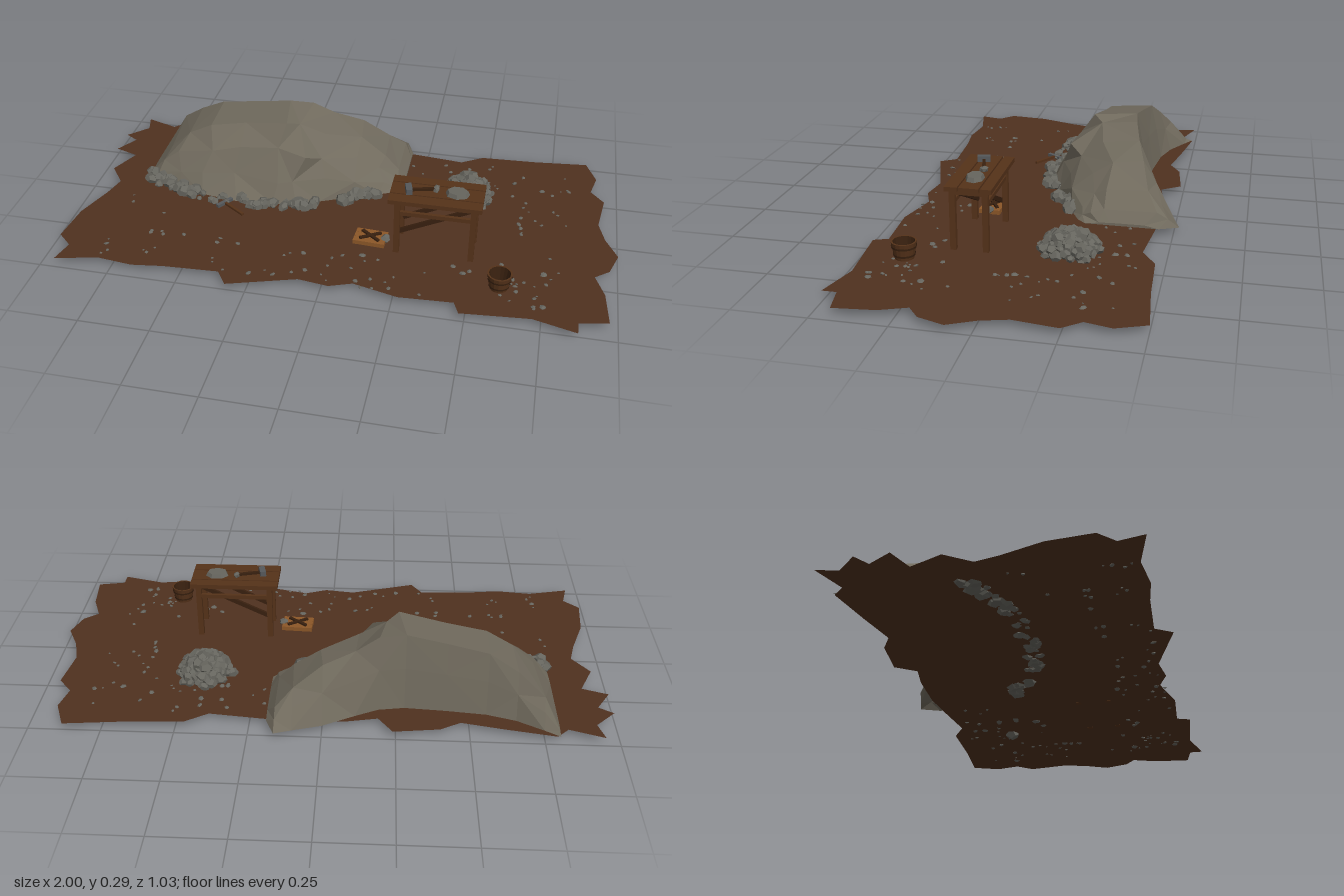
import * as THREE from 'three';
import { mergeGeometries } from 'three/addons/utils/BufferGeometryUtils.js';

const GROUND = 0.025;
const mat = (name, color, extra = {}) => {
  const m = new THREE.MeshStandardMaterial({ color, flatShading: true, ...extra });
  m.name = name;
  return m;
};
const seeded = (s) => () => {
  s = (s * 16807) % 2147483647;
  return s / 2147483647;
};

export function createModel() {
  const model = new THREE.Group();
  const rand = seeded(4217);
  const range = (a, b) => a + (b - a) * rand();
  const earth = mat('earth', 0x50311f, { side: THREE.DoubleSide });
  const cliffStone = mat('cliff stone', 0x706a5d, { side: THREE.DoubleSide });
  const rubbleStone = mat('rubble stone', 0x66655e);
  const wood = mat('wood', 0x553219);
  const darkWood = mat('dark wood', 0x38200f, { side: THREE.DoubleSide });
  const paleWood = mat('pale wood', 0x8c5728);
  const metal = mat('metal', 0x55585a);

  const add = (name, geo, material, parent = model) => {
    const mesh = new THREE.Mesh(geo, material);
    mesh.name = name;
    parent.add(mesh);
    return mesh;
  };
  const box = (name, w, h, d, x, y, z, material, parent) => {
    const mesh = add(name, new THREE.BoxGeometry(w, h, d), material, parent);
    mesh.position.set(x, y, z);
    return mesh;
  };

  // Ragged ground sheet, outline as x, z pairs
  const edge = [
    -0.95, -0.49, -0.83, -0.45, -0.79, -0.49, -0.62, -0.46, -0.47, -0.43, -0.4, -0.47, -0.24, -0.49, -0.19, -0.42,
    -0.09, -0.44, 0.08, -0.45, 0.2, -0.44, 0.39, -0.42, 0.47, -0.47, 0.68, -0.48, 0.88, -0.5, 0.92, -0.4, 0.9, -0.31,
    0.95, -0.25, 0.93, -0.1, 0.955, -0.01, 1, 0.08, 0.97, 0.17, 0.92, 0.21, 0.955, 0.3, 0.97, 0.44, 0.87, 0.46,
    0.87, 0.51, 0.72, 0.47, 0.48, 0.49, 0.46, 0.44, 0.27, 0.45, 0.11, 0.41, 0.03, 0.44, -0.08, 0.425, -0.32, 0.5,
    -0.36, 0.44, -0.56, 0.45, -0.67, 0.465, -0.8, 0.45, -0.95, 0.485, -0.93, 0.4, -0.985, 0.35, -0.97, 0.2,
    -0.92, 0.06, -0.9, -0.02, -0.96, -0.1, -0.91, -0.21, -1, -0.24, -0.95, -0.32, -1, -0.35, -0.93, -0.42,
  ];
  const outline = [];
  for (let i = 0; i < edge.length; i += 2) outline.push(new THREE.Vector2(edge[i], -edge[i + 1]));
  const sheet = new THREE.ShapeGeometry(new THREE.Shape(outline)).rotateX(-Math.PI / 2);
  add('ground', sheet, earth).position.y = GROUND;

  // Curved outcrop: x, front foot z, back foot z, top y, front brow z, back brow z
  const stations = [
    [-0.8, -0.09, -0.49, 0.035, -0.2, -0.44],
    [-0.75, -0.06, -0.46, 0.12, -0.19, -0.4],
    [-0.66, -0.03, -0.41, 0.19, -0.17, -0.36],
    [-0.56, 0, -0.38, 0.245, -0.19, -0.335],
    [-0.42, 0.02, -0.365, 0.27, -0.17, -0.32],
    [-0.28, 0.01, -0.355, 0.295, -0.16, -0.31],
    [-0.19, 0, -0.37, 0.29, -0.17, -0.32],
    [-0.11, -0.04, -0.41, 0.245, -0.2, -0.34],
    [0, -0.09, -0.47, 0.205, -0.24, -0.37],
    [0.1, -0.13, -0.5, 0.13, -0.25, -0.4],
    [0.16, -0.16, -0.52, 0.075, -0.27, -0.44],
    [0.19, -0.19, -0.45, 0.035, -0.28, -0.4],
  ];
  const positions = [], index = [], ROWS = 7;
  stations.forEach(([x, f, b, top, tf, tb], i) => {
    const h = top - GROUND;
    const section = [
      [f, 0], [f + (tf - f) * 0.28, 0.32], [f + (tf - f) * 0.55, 0.68], [tf, 0.95],
      [tb, 1], [(tb + b) / 2, 0.55], [b, 0],
    ];
    const inner = i > 0 && i < stations.length - 1;
    section.forEach(([z, k], j) => {
      const j1 = inner && j > 0 && j < 4 ? 1 : 0;
      positions.push(x + j1 * range(-0.025, 0.025), GROUND + h * (k + j1 * range(-0.07, 0.04)), z + j1 * range(-0.022, 0.022));
      if (i < stations.length - 1 && j < ROWS - 1) {
        const a = i * ROWS + j, c = a + ROWS;
        if ((i + j) % 2) index.push(a, c, c + 1, a, c + 1, a + 1);
        else index.push(a, c, a + 1, c, c + 1, a + 1);
      }
    });
  });
  const last = (stations.length - 1) * ROWS;
  for (let j = 1; j < ROWS - 1; j++) {
    index.push(0, j, j + 1, last, last + j + 1, last + j);
  }
  const cliff = new THREE.BufferGeometry();
  cliff.setAttribute('position', new THREE.Float32BufferAttribute(positions, 3));
  cliff.setIndex(index);
  cliff.computeVertexNormals();
  add('rockOutcrop', cliff, cliffStone);

  // Loose stones: stretched and turned polyhedra
  const stone = (x, y, z, r, flat = 0.7) => {
    const g = r > 0.018 ? new THREE.DodecahedronGeometry(r) : new THREE.IcosahedronGeometry(r);
    g.scale(range(0.8, 1.25), range(flat, flat + 0.25), range(0.7, 1.1));
    g.rotateZ(range(-0.5, 0.5)).rotateX(range(-0.5, 0.5)).rotateY(range(0, 6.28));
    return g.translate(x, y, z);
  };

  // Rubble along the foot of the outcrop
  const footZ = (x) => {
    const i = Math.max(1, stations.findIndex((s) => s[0] >= x));
    const a = stations[i - 1], b = stations[i];
    return a[1] + ((b[1] - a[1]) * (x - a[0])) / (b[0] - a[0]);
  };
  const rubble = [];
  const clusters = [[-0.79, -0.58, 24, 0.03], [-0.56, -0.26, 20, 0.022], [-0.24, -0.12, 12, 0.03], [-0.03, 0.09, 12, 0.033]];
  for (const [x0, x1, count, size] of clusters) {
    for (let n = 0; n < count; n++) {
      const x = range(x0, x1), r = size * range(0.45, 1.1);
      rubble.push(stone(x, GROUND + r * 0.35, footZ(x) + range(-0.02, 0.035), r));
    }
  }
  add('rubble', mergeGeometries(rubble), rubbleStone);

  // Heap of quarried stones
  const heap = [new THREE.DodecahedronGeometry(0.028).translate(0.49, 0.0262, -0.235)];
  for (let n = 0; n < 75; n++) {
    const a = n * 2.4, q = Math.sqrt((n + 0.5) / 75), r = range(0.016, 0.03);
    const y = GROUND + 0.01 + 0.062 * (1 - q * q);
    heap.push(stone(0.435 + Math.cos(a) * q * 0.092, y, -0.185 + Math.sin(a) * q * 0.098, r, 0.65));
  }
  add('stoneHeap', mergeGeometries(heap), rubbleStone);

  // Pebbles scattered around the border
  const pebbles = [];
  while (pebbles.length < 110) {
    const x = range(-0.82, 0.82), z = range(-0.42, 0.43);
    const onCliff = x < 0.2 && z < 0.05;
    if (onCliff || (Math.abs(x) < 0.6 && Math.abs(z) < 0.24)) continue;
    pebbles.push(stone(x, GROUND, z, range(0.005, 0.012), 0.4));
  }
  add('pebbles', mergeGeometries(pebbles), rubbleStone);

  // Work table
  const table = new THREE.Group();
  table.name = 'workTable';
  model.add(table);
  for (const [z, d] of [[0.08, 0.038], [0.138, 0.068], [0.199, 0.044]]) {
    box('tablePlank', 0.325, 0.016, d, 0.355, 0.247, z, wood, table);
  }
  for (const x of [0.225, 0.49]) {
    box('crossRail', 0.02, 0.016, 0.13, x, 0.231, 0.142, wood, table);
    for (const z of [0.088, 0.2]) box('tableLeg', 0.02, 0.22, 0.02, x, 0.134, z, wood, table);
  }
  for (const [z, inner] of [[0.088, 0.102], [0.2, 0.186]]) {
    box('sideRail', 0.27, 0.015, 0.012, 0.357, 0.193, z, wood, table);
    box('diagonalBrace', 0.27, 0.016, 0.01, 0.355, 0.165, inner, darkWood, table).rotation.z = 0.45;
  }

  // Hammer and stones on the table
  const hammer = new THREE.Group();
  hammer.name = 'hammer';
  hammer.position.set(0.295, 0.263, 0.145);
  hammer.rotation.y = 0.25;
  model.add(hammer);
  box('hammerHandle', 0.11, 0.009, 0.01, 0.01, 0, 0, darkWood, hammer);
  box('hammerHead', 0.022, 0.02, 0.045, -0.04, 0.003, 0, metal, hammer);
  const slab = add('stoneSlab', new THREE.CylinderGeometry(0.036, 0.044, 0.016, 7), rubbleStone);
  slab.position.set(0.425, 0.262, 0.14);
  slab.scale.z = 0.75;
  add('tableStone', stone(0.35, 0.262, 0.13, 0.015), rubbleStone);

  // Pale board with two crossed battens
  const board = new THREE.Group();
  board.name = 'crossedBoard';
  board.position.set(0.125, 0.035, 0.157);
  board.rotation.y = -0.06;
  model.add(board);
  for (const z of [-0.026, 0, 0.026]) box('boardPlank', 0.115, 0.016, 0.025, 0, 0, z, paleWood, board);
  for (const s of [-1, 1]) {
    box('crossBatten', 0.085, 0.008, 0.011, 0, 0.011, 0, darkWood, board).rotation.y = s * 0.6;
  }
  add('boardStone', stone(0.18, 0.042, 0.16, 0.019), rubbleStone);

  // Pickaxe lying before the outcrop
  const pick = new THREE.Group();
  pick.name = 'pickaxe';
  pick.position.set(-0.415, 0.032, 0.075);
  pick.rotation.y = -0.6;
  model.add(pick);
  box('pickHandle', 0.115, 0.009, 0.01, 0, 0, 0, wood, pick);
  box('pickHead', 0.014, 0.012, 0.07, -0.05, 0, 0, metal, pick);

  // Wooden bucket with hoops
  const bucket = new THREE.Group();
  bucket.name = 'bucket';
  bucket.position.set(0.6, 0, 0.335);
  model.add(bucket);
  const ring = (r, y) => new THREE.Vector2(r, y);
  const wall = [ring(0, 0.03), ring(0.032, 0.03), ring(0.043, 0.09), ring(0.037, 0.09)];
  add('bucketWall', new THREE.LatheGeometry(wall, 16), wood, bucket);
  const lining = [ring(0.037, 0.09), ring(0.028, 0.04), ring(0, 0.04)];
  add('bucketLining', new THREE.LatheGeometry(lining, 16), darkWood, bucket);
  for (const y of [0.045, 0.073]) {
    const r = 0.033 + (y - 0.03) * 0.183;
    add('bucketHoop', new THREE.CylinderGeometry(r + 0.002, r + 0.001, 0.007, 16, 1, true), darkWood, bucket).position.y = y;
  }
  return model;
}
